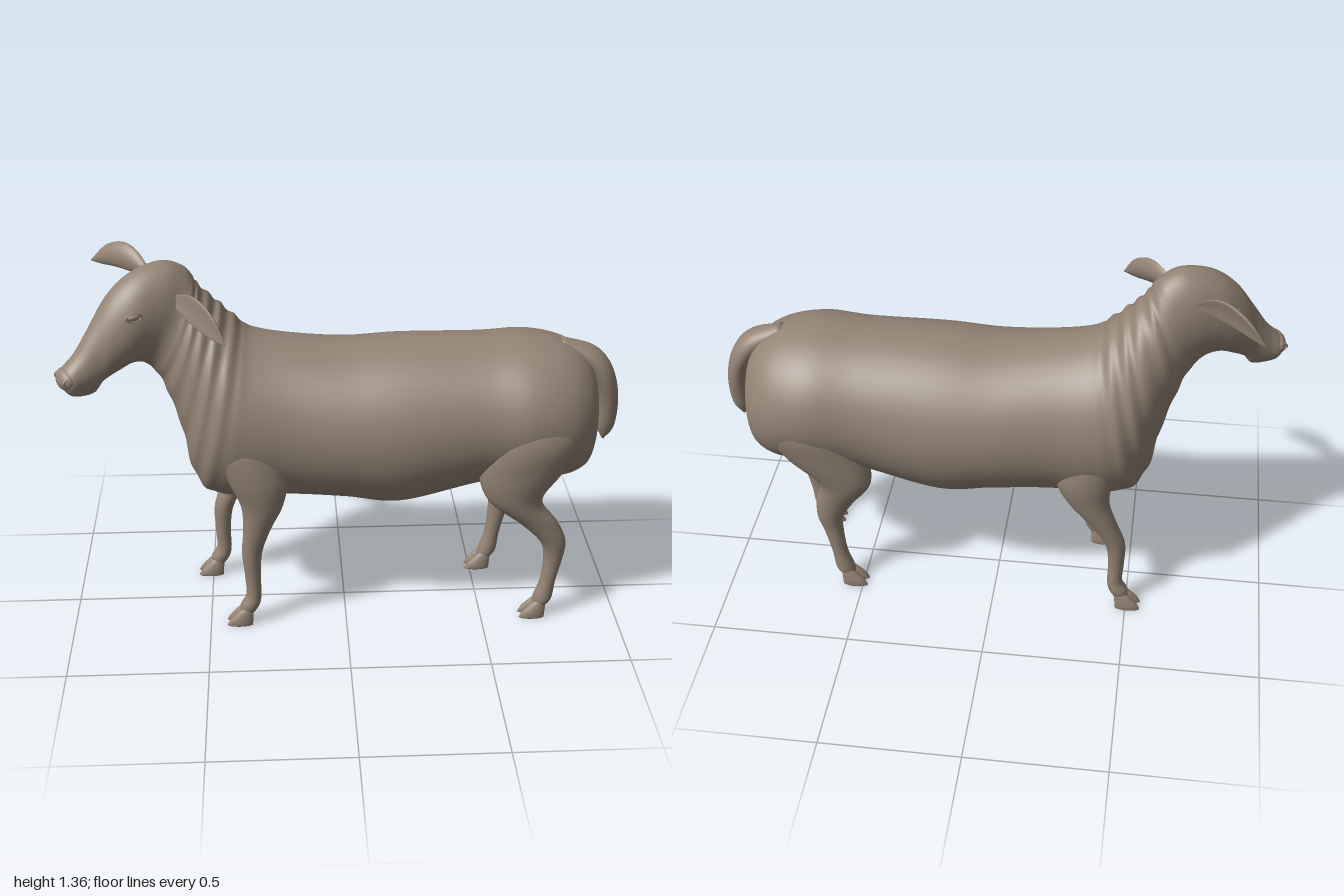
import * as THREE from 'three';

const V = (x, y, z) => new THREE.Vector3(x, y, z);
const coat = new THREE.MeshStandardMaterial({ color: 0x938374 });
coat.name = 'taupe coat';

// Smooth closed skin through oval sections { c: centre, u, w: half axes }.
// cup bends each oval sideways, scale(t) swells it along the length.
function loft(sections, { steps = 5, sides = 32, cup = 0, scale = () => 1 } = {}) {
  const curve = k => new THREE.CatmullRomCurve3(sections.map(s => s[k]), false, 'catmullrom', 0.5);
  const [C, U, W] = ['c', 'u', 'w'].map(curve);
  const n = (sections.length - 1) * steps;
  const pos = [], index = [];
  for (let i = 0; i <= n; i++) {
    const t = i / n, c = C.getPoint(t), u = U.getPoint(t), w = W.getPoint(t), k = scale(t * (sections.length - 1));
    for (let j = 0; j < sides; j++) {
      const a = j / sides * Math.PI * 2, cu = Math.cos(a);
      const p = c.clone().addScaledVector(u, k * cu).addScaledVector(w, k * Math.sin(a) + cup * (cu * cu - 0.5));
      pos.push(p.x, p.y, p.z);
    }
  }
  for (let i = 0; i < n; i++) for (let j = 0; j < sides; j++) {
    const a = i * sides + j, b = i * sides + (j + 1) % sides;
    index.push(a, b, a + sides, b, b + sides, a + sides);
  }
  // End caps
  for (const [row, c, flip] of [[0, sections[0].c, true], [n, sections.at(-1).c, false]]) {
    const m = pos.length / 3;
    pos.push(c.x, c.y, c.z);
    for (let j = 0; j < sides; j++) {
      const a = row * sides + j, b = row * sides + (j + 1) % sides;
      index.push(...(flip ? [b, a, m] : [a, b, m]));
    }
  }
  // Turn the faces outward
  let volume = 0;
  const at = i => V(pos[i * 3], pos[i * 3 + 1], pos[i * 3 + 2]);
  for (let i = 0; i < index.length; i += 3) volume += at(index[i]).dot(at(index[i + 1]).cross(at(index[i + 2])));
  if (volume < 0) index.reverse();
  const g = new THREE.BufferGeometry();
  g.setAttribute('position', new THREE.Float32BufferAttribute(pos, 3));
  g.setIndex(index);
  g.computeVertexNormals();
  return g;
}

const TURN = 0.43;
const headZ = x => (x < -0.58 ? (-0.58 - x) * Math.tan(TURN) : -0.008);

// Section from its upper and lower profile points and half width
function slice([tx, ty, bx, by, w]) {
  const t = V(tx, ty, headZ(tx)), b = V(bx, by, headZ(bx));
  const c = t.clone().add(b).multiplyScalar(0.5);
  const yaw = TURN * THREE.MathUtils.smoothstep(-c.x, 0.5, 0.7);
  return { c, u: t.sub(b).multiplyScalar(0.5), w: V(Math.sin(yaw) * w, 0, Math.cos(yaw) * w) };
}

// Level section of a leg
const level = (y, x, rx, z, rz) => ({ c: V(x, y, z), u: V(rx, 0, 0), w: V(0, 0, rz) });

// Top x, top y, bottom x, bottom y, half width: rump, barrel, neck, head
const TRUNK = [
  [0.915, 0.82, 0.912, 0.7, 0.05], [0.9, 0.91, 0.897, 0.6, 0.14], [0.86, 0.98, 0.865, 0.545, 0.205],
  [0.78, 1.03, 0.78, 0.52, 0.262], [0.65, 1.055, 0.65, 0.525, 0.288], [0.48, 1.05, 0.48, 0.5, 0.278],
  [0.2, 1.05, 0.2, 0.433, 0.295], [0, 1.04, 0, 0.455, 0.287], [-0.2, 1.06, -0.2, 0.465, 0.268],
  [-0.32, 1.085, -0.37, 0.462, 0.268], [-0.37, 1.12, -0.49, 0.485, 0.262], [-0.42, 1.17, -0.55, 0.57, 0.235],
  [-0.46, 1.21, -0.58, 0.72, 0.2], [-0.5, 1.255, -0.62, 0.86, 0.162], [-0.52, 1.29, -0.655, 0.95, 0.13],
  [-0.55, 1.33, -0.7, 1.005, 0.112], [-0.62, 1.36, -0.75, 1.015, 0.108], [-0.72, 1.335, -0.8, 0.995, 0.103],
  [-0.8, 1.27, -0.85, 0.965, 0.083], [-0.87, 1.165, -0.875, 0.93, 0.064], [-0.92, 1.085, -0.915, 0.925, 0.057],
  [-0.965, 1.035, -0.95, 0.935, 0.054], [-0.98, 1.005, -0.975, 0.965, 0.03],
];

const TAIL = [
  [0.78, 1.04, 0.76, 0.98, 0.035], [0.9, 1.0, 0.86, 0.92, 0.06], [0.965, 0.925, 0.9, 0.86, 0.066],
  [0.995, 0.81, 0.92, 0.78, 0.05], [0.99, 0.69, 0.925, 0.69, 0.028], [0.955, 0.633, 0.945, 0.64, 0.006],
];

// y, x, half length, z, half width
const FORE = [
  [0.82, -0.37, 0.09, 0.16, 0.06], [0.72, -0.35, 0.12, 0.18, 0.075], [0.6, -0.315, 0.105, 0.195, 0.068],
  [0.5, -0.302, 0.076, 0.195, 0.056], [0.4, -0.322, 0.05, 0.19, 0.044], [0.3, -0.342, 0.037, 0.182, 0.036],
  [0.2, -0.342, 0.029, 0.18, 0.029], [0.12, -0.34, 0.028, 0.18, 0.029], [0.075, -0.355, 0.035, 0.18, 0.033],
  [0.04, -0.367, 0.024, 0.18, 0.025],
];
const HIND = [
  [0.9, 0.67, 0.1, 0.16, 0.07], [0.75, 0.665, 0.165, 0.185, 0.1], [0.62, 0.625, 0.155, 0.19, 0.087],
  [0.5, 0.605, 0.098, 0.195, 0.062], [0.4, 0.695, 0.07, 0.188, 0.046], [0.32, 0.752, 0.048, 0.183, 0.038],
  [0.25, 0.76, 0.036, 0.18, 0.032], [0.15, 0.745, 0.029, 0.18, 0.029], [0.075, 0.728, 0.035, 0.18, 0.033],
  [0.04, 0.715, 0.024, 0.18, 0.025],
];

export function createModel() {
  const group = new THREE.Group();
  const add = (name, geometry, parent = group) => {
    const m = new THREE.Mesh(geometry, coat);
    m.name = name;
    parent.add(m);
    return m;
  };

  // Body with soft folds around the neck
  const folds = i => 1 + 0.016 * Math.sin((i - 9) * Math.PI * 2) *
    THREE.MathUtils.smoothstep(i, 9, 10.5) * (1 - THREE.MathUtils.smoothstep(i, 13.5, 15));
  add('bodyNeckAndHead', loft(TRUNK.map(slice), { steps: 10, sides: 48, scale: folds }));
  add('tail', loft(TAIL.map(slice), { steps: 7 }));

  // Legs with cloven hooves; the far pair steps forward
  for (const [name, rows, step, toe] of [['foreLeg', FORE, -0.115, -0.367], ['hindLeg', HIND, -0.16, 0.715]]) {
    for (const side of [1, -1]) {
      const leg = new THREE.Group();
      leg.name = (side > 0 ? 'near' : 'far') + name[0].toUpperCase() + name.slice(1);
      group.add(leg);
      const shift = y => (side > 0 ? 0 : step * (1 - THREE.MathUtils.smoothstep(y, 0.22, 0.7)));
      add('limb', loft(rows.map(([y, x, rx, z, rz]) => level(y, x + shift(y), rx, side * z, rz)), { steps: 6 }), leg);
      for (const s of [1, -1]) {
        const x = toe + shift(0), z = side * 0.18 + s * 0.018;
        add('claw', loft([
          level(0.068, x + 0.004, 0.016, z, 0.01), level(0.048, x - 0.006, 0.03, z, 0.016),
          level(0.02, x - 0.02, 0.042, z + s * 0.002, 0.018), level(0, x - 0.026, 0.047, z + s * 0.002, 0.017),
        ], { sides: 16 }), leg);
      }
    }
  }

  // Cupped leaf-shaped ears
  const WIDTH = [0.014, 0.036, 0.048, 0.046, 0.034, 0.003];
  const ear = (name, base, mid, tip, up) => {
    const path = new THREE.QuadraticBezierCurve3(base, mid, tip);
    const normal = tip.clone().sub(base).cross(up).normalize();
    add(name, loft(WIDTH.map((w, i) => ({
      c: path.getPoint(i / 5), u: up.clone().multiplyScalar(w),
      w: normal.clone().multiplyScalar(w * 0.24 + 0.001),
    })), { steps: 6, cup: 0.9 }));
  };
  ear('nearEar', V(-0.59, 1.245, 0.085), V(-0.5, 1.265, 0.2), V(-0.41, 1.165, 0.3), V(0.25, 0.95, 0.1));
  ear('farEar', V(-0.675, 1.275, -0.075), V(-0.78, 1.36, -0.18), V(-0.895, 1.265, -0.268), V(0.15, 0.95, -0.15));

  // Eyes with lids, nose pad and nostrils, set in the turned head
  const face = new THREE.Group();
  face.name = 'face';
  group.add(face);
  const place = (m, x, y, side, out) => {
    m.position.set(x + side * out * Math.sin(TURN), y, headZ(x) + side * out * Math.cos(TURN));
    m.rotation.y = TURN;
    return m;
  };
  for (const side of [1, -1]) {
    place(add('eye', new THREE.SphereGeometry(1, 20, 14), face), -0.757, 1.215, side, 0.098).scale.set(0.024, 0.012, 0.012);
    place(add('eyelid', new THREE.TorusGeometry(0.027, 0.005, 10, 28), face), -0.757, 1.215, side, 0.1).scale.y = 0.55;
    place(add('nostril', new THREE.TorusGeometry(0.016, 0.005, 10, 24), face), -0.965, 1.0, side, 0.046).scale.y = 0.7;
  }
  place(add('nosePad', new THREE.SphereGeometry(1, 28, 18), face), -0.958, 0.997, 1, 0).scale.set(0.034, 0.04, 0.056);
  return group;
}
